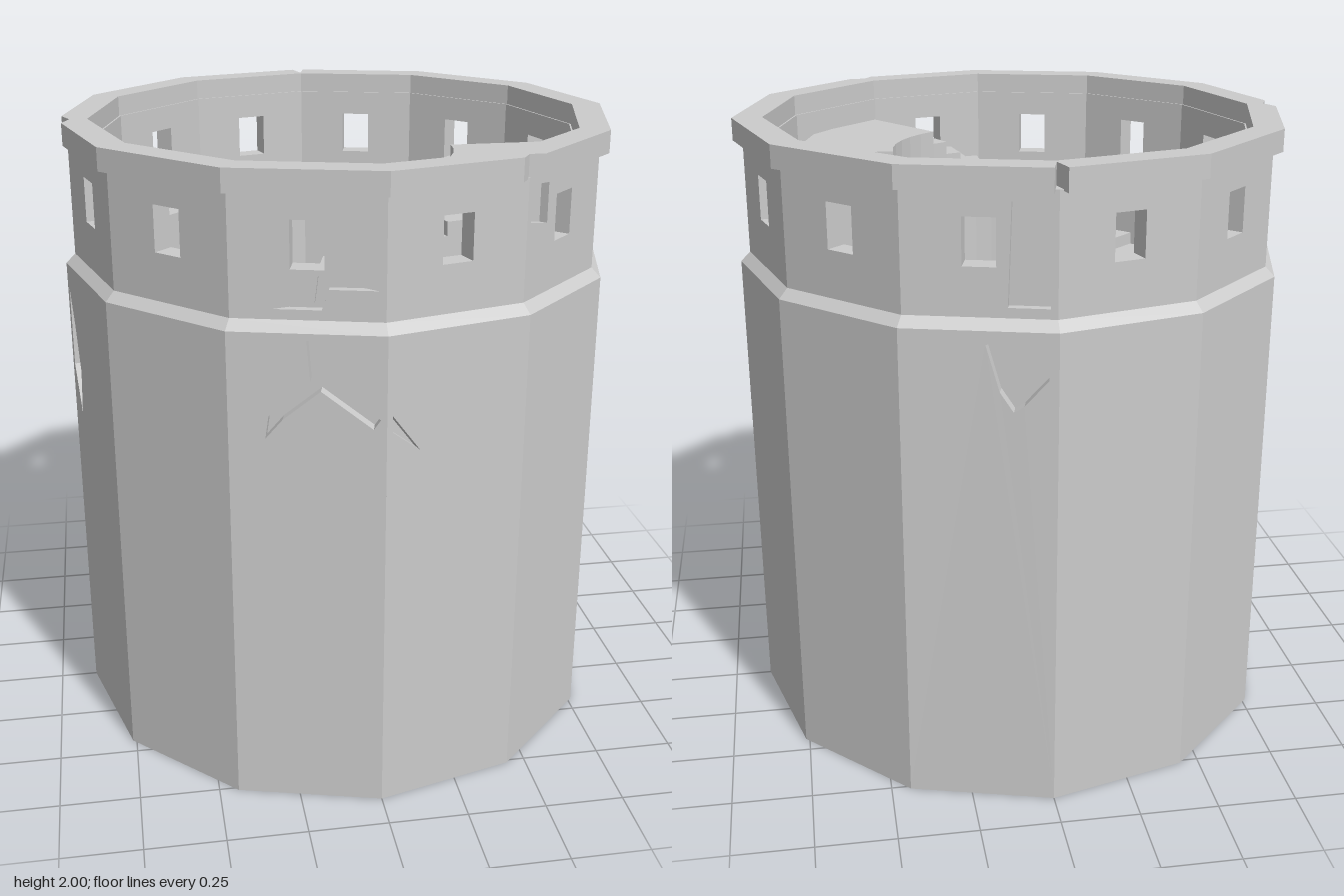
import * as THREE from 'three';

const material = new THREE.MeshStandardMaterial({ color: 0xcccccc, flatShading: true, side: THREE.DoubleSide });
const SIDES = 12, STEP = Math.PI / 6, HALF = STEP / 2;
const rad = (d) => d * Math.PI / 180;

function add(parent, name, geometry) {
  const mesh = new THREE.Mesh(geometry, material);
  mesh.name = name;
  parent.add(mesh);
  return mesh;
}

const toPoints = (list) => list.map(([x, y]) => new THREE.Vector2(x, y));

// Prism standing between two heights, from an outline in x and z
function prism(outline, bottom, top, hole) {
  const shape = new THREE.Shape(toPoints(outline));
  if (hole) shape.holes.push(new THREE.Path(toPoints(hole)));
  const geometry = new THREE.ExtrudeGeometry(shape, { depth: top - bottom, bevelEnabled: false });
  return geometry.rotateX(Math.PI / 2).translate(0, top, 0);
}

// One flat wall slab of the twelve-sided tower, pierced by holes given in (across, height)
function wallPanel(parent, name, index, radius, inset, thickness, bottom, top, holes) {
  const w = radius * Math.sin(HALF);
  const shape = new THREE.Shape(toPoints([[-w, bottom], [w, bottom], [w, top], [-w, top]]));
  holes.forEach((h) => shape.holes.push(new THREE.Path(toPoints(h))));
  const geometry = new THREE.ExtrudeGeometry(shape, { depth: thickness, bevelEnabled: false });
  geometry.translate(0, 0, radius * Math.cos(HALF) - inset - thickness);
  add(parent, name, geometry).rotation.y = HALF + index * STEP;
}

// Worn cracks, by wall index
const lowerCracks = {
  11: [[0.03, 1.52], [0, 1.52], [0.01, 1.4], [-0.11, 1.29], [-0.12, 1.22], [-0.07, 1.28], [0.04, 1.37], [0.19, 1.26], [0.21, 1.29], [0.05, 1.41]],
  0: [[-0.21, 1.3], [-0.21, 1.25], [-0.12, 1.18]],
  5: [[0.2, 1.52], [0.02, 1.5], [0.06, 1.36], [0.1, 1.3], [0.13, 1.32], [0.2, 1.4]],
  9: [[-0.21, 1.46], [-0.21, 1.2], [-0.15, 1.05], [-0.13, 1.2], [-0.17, 1.35]],
};
const upperCracks = {
  11: [[-0.1, 1.6], [0.02, 1.62], [0.03, 1.7], [0.05, 1.69], [0.2, 1.66], [0.06, 1.66], [0.04, 1.6]],
  5: [[0.08, 1.6], [0.2, 1.6], [0.18, 1.88], [0.09, 1.9]],
  1: [[-0.2, 1.91], [-0.2, 1.8], [-0.1, 1.78], [-0.1, 1.9]],
};
const windowHole = [[-0.048, 1.715], [0.048, 1.715], [0.048, 1.855], [-0.048, 1.855]];

// Corners of the tower's plan; chips maps a corner index to [half width, depth]
function plan(radius, chips = {}) {
  const corner = (i, r = radius) => [r * Math.sin(i * STEP), r * Math.cos(i * STEP)];
  const out = [];
  for (let i = 0; i < SIDES; i++) {
    if (!chips[i]) { out.push(corner(i)); continue; }
    const [width, depth] = chips[i];
    const p = corner(i);
    const toward = (q) => {
      const t = width / Math.hypot(q[0] - p[0], q[1] - p[1]);
      return [p[0] + (q[0] - p[0]) * t, p[1] + (q[1] - p[1]) * t];
    };
    out.push(toward(corner(i - 1)), corner(i, radius - depth), toward(corner(i + 1)));
  }
  return out;
}

// Radius of the inner wall in a given direction
function wallRadius(a) {
  const local = ((a % STEP) + STEP) % STEP - HALF;
  return 0.71 * Math.cos(HALF) / Math.cos(local);
}

// Wedge of the winding stair between two angles
function wedge(a0, a1, bottom, top) {
  const n = Math.max(1, Math.round((a1 - a0) / rad(10)));
  const inner = [], outer = [];
  for (let i = 0; i <= n; i++) {
    const a = a0 + (a1 - a0) * i / n, r = wallRadius(a);
    outer.push([r * Math.cos(a), r * Math.sin(a)]);
    inner.unshift([0.38 * Math.cos(a), 0.38 * Math.sin(a)]);
  }
  return prism([...outer, ...inner], bottom, top);
}

export function createModel() {
  const tower = new THREE.Group();
  tower.name = 'tower';

  // Core with base, collar, inner ledge, floor and central well
  add(tower, 'towerCore', new THREE.LatheGeometry(toPoints([
    [0, 0], [0.84, 0], [0.84, 1.52], [0.88, 1.54], [0.85, 1.57], [0.71, 1.57],
    [0.71, 1], [0.28, 1], [0.28, 0.75], [0, 0.75],
  ]), SIDES));

  // Outer walls and the windowed parapet
  const walls = new THREE.Group();
  walls.name = 'walls';
  tower.add(walls);
  for (let i = 0; i < SIDES; i++) {
    const low = lowerCracks[i] ? [lowerCracks[i]] : [];
    const high = upperCracks[i] ? [upperCracks[i]] : [];
    wallPanel(walls, 'lowerWall', i, 0.88, 0, 0.045, 0, 1.54, low);
    wallPanel(walls, 'parapetFace', i, 0.85, 0, 0.025, 1.57, 1.935, [windowHole, ...high]);
    wallPanel(walls, 'parapetBack', i, 0.85, 0.025, 0.043, 1.57, 1.935, [windowHole]);
  }

  // Chipped rim
  const chips = { 1: [0.045, 0.035], 6: [0.02, 0.08], 9: [0.06, 0.04] };
  add(tower, 'rim', prism(plan(0.88, chips), 1.93, 2, plan(0.785)));

  // Landing and winding stair down to the floor
  const stairs = new THREE.Group();
  stairs.name = 'stairs';
  tower.add(stairs);
  add(stairs, 'landing', wedge(0, rad(55), 0.99, 1.88));
  const count = 20, sweep = rad(168) / count, rise = 0.88 / (count + 1);
  for (let i = 0; i < count; i++) {
    const a = rad(55) + i * sweep;
    add(stairs, 'stairStep', wedge(a, a + sweep, 0.99, 1.88 - (i + 1) * rise));
  }

  // Rubble in the well
  const rubble = add(tower, 'wellRubble', new THREE.IcosahedronGeometry(0.25, 0));
  rubble.scale.y = 0.25;
  rubble.position.y = 0.76;
  return tower;
}
